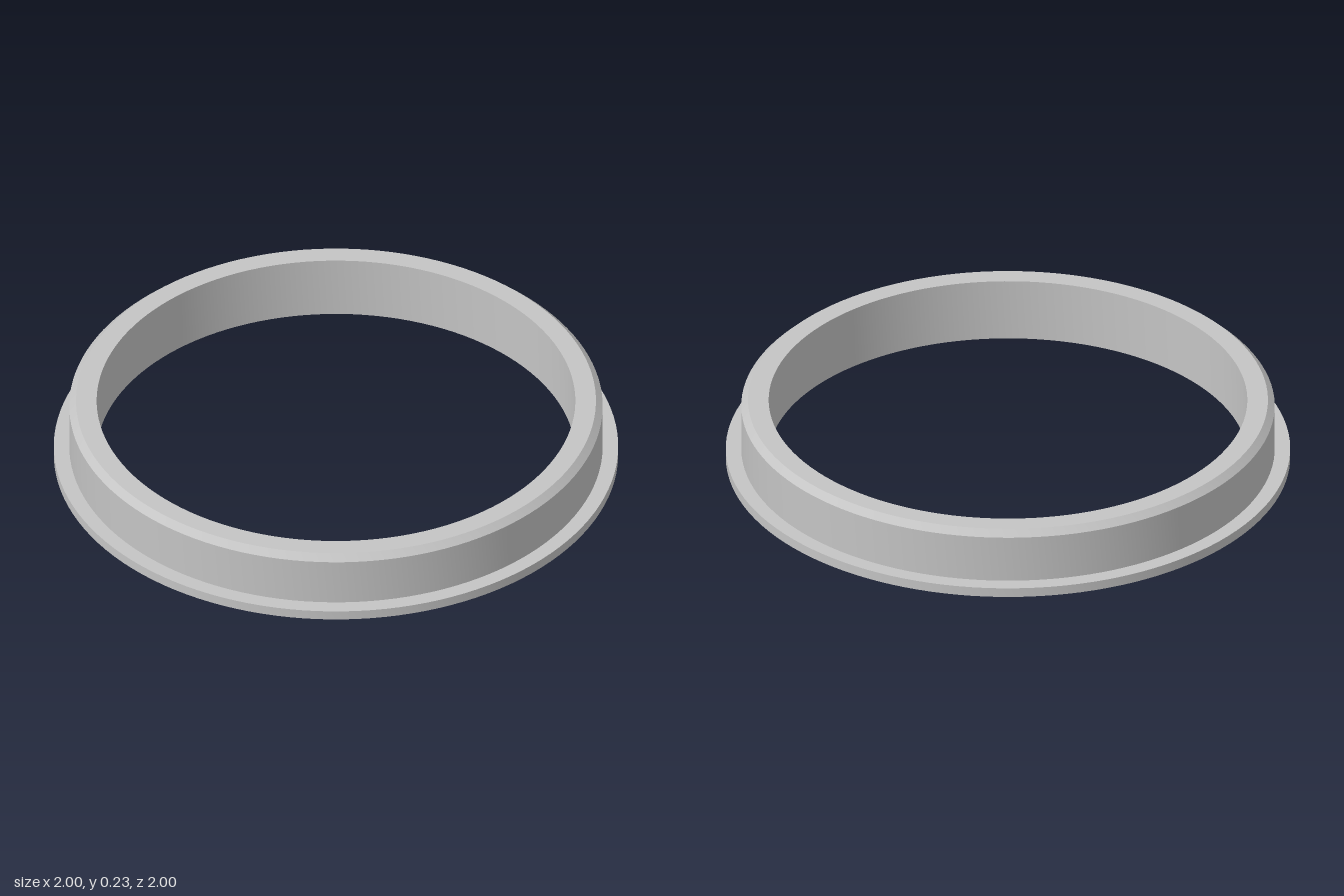
import * as THREE from 'three';
import { toCreasedNormals } from 'three/addons/utils/BufferGeometryUtils.js';

export function createModel() {
  const model = new THREE.Group();
  model.name = 'flangedRing';

  const greyMetal = new THREE.MeshStandardMaterial({ color: 0xc4c4c4 });
  greyMetal.name = 'greyMetal';

  // Closed wall section: [radius, height], counter-clockwise from the inner bottom edge
  const section = [
    [0.848, 0],
    [1, 0],         // flange underside
    [1, 0.035],     // flange rim
    [0.945, 0.035], // flange top
    [0.945, 0.21],  // outer wall
    [0.921, 0.233], // chamfer
    [0.848, 0.233], // top face
    [0.848, 0],     // bore
  ].map(([r, y]) => new THREE.Vector2(r, y));

  const geometry = toCreasedNormals(new THREE.LatheGeometry(section, 128), Math.PI / 6);
  const ring = new THREE.Mesh(geometry, greyMetal);
  ring.name = 'ringWithFlange';
  model.add(ring);

  return model;
}
